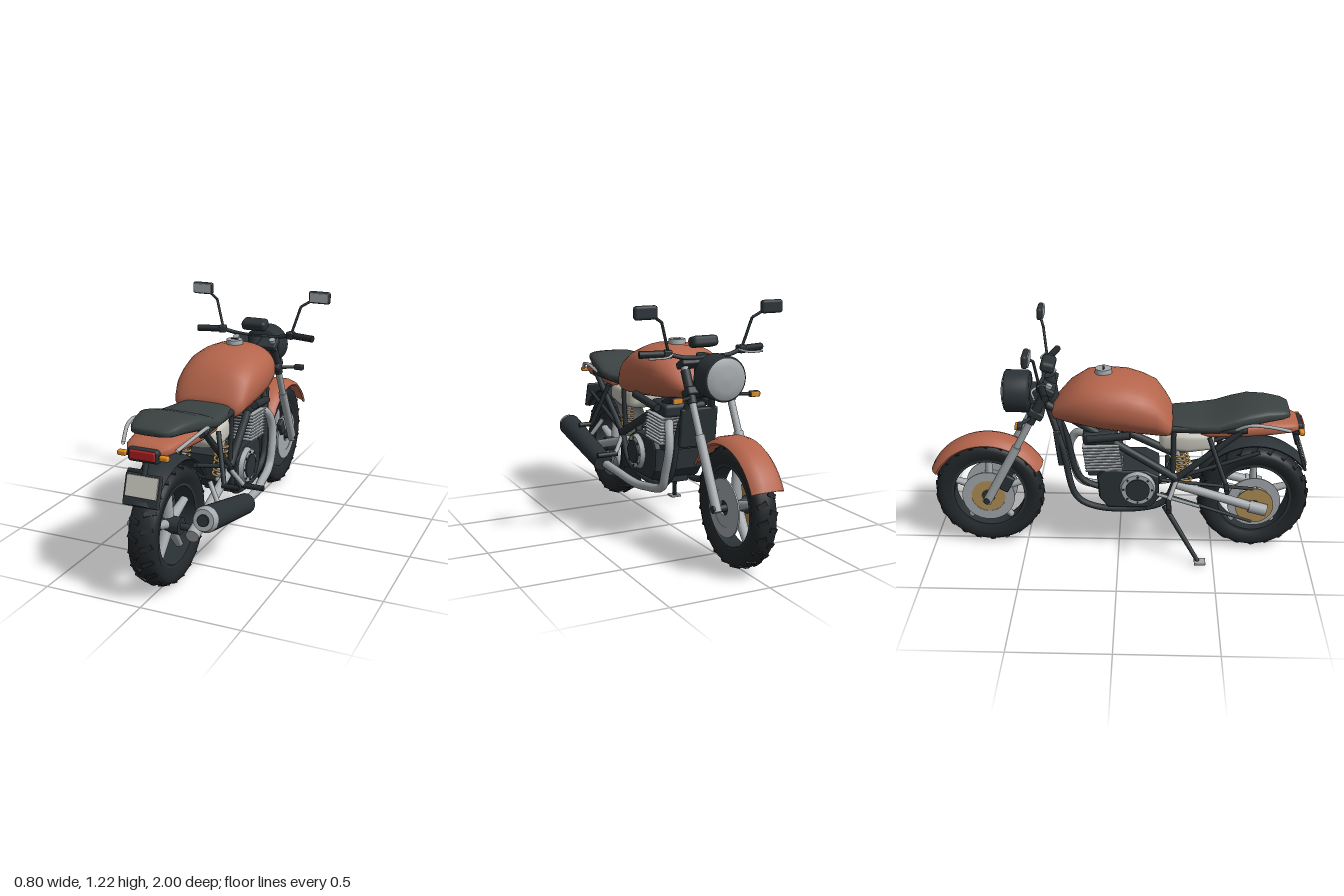
import * as THREE from 'three';
import { RoundedBoxGeometry } from 'three/addons/geometries/RoundedBoxGeometry.js';
import { toCreasedNormals } from 'three/addons/utils/BufferGeometryUtils.js';

const mat = (color) => new THREE.MeshStandardMaterial({ color, side: THREE.DoubleSide });
const paint = mat(0xb5654c), dark = mat(0x2b3236), rubber = mat(0x23272a), metal = mat(0xa4a9ac);
const vinyl = mat(0x3b4242), cream = mat(0xc6c5ba), gold = mat(0xb08d55), red = mat(0xb02020), amber = mat(0xe08a20);
const V = (p) => new THREE.Vector3(...p);
const rad = THREE.MathUtils.degToRad;

export function createModel() {
  const root = new THREE.Group();
  const add = (name, geo, material, pos = [0, 0, 0], rot = [0, 0, 0], parent = root) => {
    const m = new THREE.Mesh(geo, material);
    m.name = name;
    m.position.set(...pos);
    m.rotation.set(...rot);
    parent.add(m);
    return m;
  };
  const box = (name, size, pos, material, rot, r = 0.008) =>
    add(name, new RoundedBoxGeometry(...size, 2, r), material, pos, rot);
  // Straight rod between two points
  const rod = (name, a, b, r, material, r2 = r, sides = 20) => {
    const A = V(a), B = V(b), d = B.clone().sub(A);
    const m = add(name, new THREE.CylinderGeometry(r2, r, d.length(), sides), material, A.clone().add(B).multiplyScalar(0.5).toArray());
    m.quaternion.setFromUnitVectors(new THREE.Vector3(0, 1, 0), d.normalize());
    return m;
  };
  const tube = (name, pts, r, material) =>
    add(name, new THREE.TubeGeometry(new THREE.CatmullRomCurve3(pts.map(V)), pts.length * 10, r, 10), material);
  // Body lofted through superellipse sections [z, bottom, top, halfWidth]
  const loft = (name, sections, n, material) => {
    const S = 36, pos = [], idx = [];
    for (const [z, yb, yt, w] of sections)
      for (let j = 0; j < S; j++) {
        const t = (j / S) * Math.PI * 2, c = Math.cos(t), s = Math.sin(t);
        pos.push(w * Math.sign(c) * Math.abs(c) ** (2 / n), (yb + yt) / 2 + ((yt - yb) / 2) * Math.sign(s) * Math.abs(s) ** (2 / n), z);
      }
    const last = sections.length - 1, c0 = pos.length / 3;
    for (const k of [0, last]) pos.push(0, (sections[k][1] + sections[k][2]) / 2, sections[k][0]);
    for (let j = 0; j < S; j++) {
      const q = (j + 1) % S;
      for (let i = 0; i < last; i++) {
        const a = i * S + j, b = i * S + q;
        idx.push(a, b, a + S, b, b + S, a + S);
      }
      idx.push(c0, q, j, c0 + 1, last * S + j, last * S + q);
    }
    const g = new THREE.BufferGeometry();
    g.setAttribute('position', new THREE.Float32BufferAttribute(pos, 3));
    g.setIndex(idx);
    g.computeVertexNormals();
    return add(name, g, material);
  };
  // Profile [radius, x] turned about the wheel axis between two angles
  const turn = (name, pts, material, pos, parent, from = 0, to = 360, segs = 64) =>
    add(name, toCreasedNormals(new THREE.LatheGeometry(pts.map((p) => new THREE.Vector2(...p)), segs, rad(-to), rad(to - from)), 0.7),
      material, pos, [0, 0, -Math.PI / 2], parent);
  const ring = (name, r0, r1, x, w, material, pos, parent) =>
    turn(name, [[r0, x - w], [r1, x - w], [r1, x + w], [r0, x + w], [r0, x - w]], material, pos, parent);

  // Wheels
  const wheel = (name, z, w) => {
    const g = new THREE.Group();
    g.name = name;
    g.position.set(0, 0.297, z);
    root.add(g);
    const half = [[0.2, w * 0.75], [0.23, w * 0.97], [0.255, w], [0.273, w * 0.88], [0.285, w * 0.55], [0.29, 0]];
    const outer = [...half.map(([r, x]) => [r, -x]), ...half.slice(0, 5).reverse()];
    turn('tyre', [...outer, outer[0]], rubber, [0, 0, 0], g);
    ring('rim', 0.188, 0.206, 0, w * 0.76, dark, [0, 0, 0], g);
    for (let i = 0; i < 5; i++) {
      const a = rad(90 + i * 72);
      const geo = new THREE.CylinderGeometry(0.016, 0.024, 0.17, 10);
      const m = add('spoke', geo, metal, [0, Math.sin(a) * 0.115, Math.cos(a) * 0.115], [Math.PI / 2 - a, 0, 0], g);
      m.scale.x = 1.3;
    }
    for (let i = 0; i < 44; i++) {
      const a = (i / 44) * Math.PI * 2, s = i % 2 ? 1 : -1;
      const pivot = new THREE.Group();
      pivot.name = 'treadBlock';
      pivot.rotation.x = a;
      g.add(pivot);
      add('tread', new THREE.BoxGeometry(w * 0.85, 0.01, 0.022), rubber, [s * w * 0.48, 0.283, 0], [0, s * 0.4, -s * 0.3], pivot);
    }
    turn('hub', [[0, -w], [0.042, -w], [0.042, w], [0, w]], dark, [0, 0, 0], g);
    return g;
  };
  const front = wheel('frontWheel', -0.695, 0.056), rear = wheel('rearWheel', 0.71, 0.071);
  for (const s of [-1, 1]) {
    ring('frontBrakeDisc', 0.09, 0.14, s * 0.066, 0.004, metal, [0, 0, 0], front);
    ring('frontDiscCarrier', 0.035, 0.09, s * 0.064, 0.004, s < 0 ? gold : metal, [0, 0, 0], front);
  }
  ring('rearBrakeDisc', 0.09, 0.14, -0.085, 0.004, metal, [0, 0, 0], rear);
  ring('rearSprocket', 0.03, 0.1, -0.125, 0.004, gold, [0, 0, 0], rear);
  rod('rearAxle', [-0.16, 0.297, 0.71], [0.16, 0.297, 0.71], 0.017, dark);
  rod('frontAxle', [-0.13, 0.297, -0.695], [0.13, 0.297, -0.695], 0.017, dark);

  // Mudguards
  const guard = (w, r, drop) => [[r - drop, -w], [r - 0.012, -w * 0.8], [r, -w * 0.4], [r, w * 0.4], [r - 0.012, w * 0.8], [r - drop, w]];
  const shell = (w, r, drop) => {
    const o = guard(w, r, drop), i = guard(w - 0.008, r - 0.009, drop).reverse();
    return [...o, ...i, o[0]];
  };
  turn('frontMudguard', shell(0.085, 0.333, 0.03), paint, [0, 0.297, -0.695], root, 30, 154, 32);
  turn('rearMudguard', shell(0.075, 0.335, 0.015), dark, [0, 0.297, 0.71], root, 36, 150, 32);

  // Tank, seat, tail and side covers
  loft('fuelTank', [[-0.35, 0.765, 0.81, 0.05], [-0.33, 0.75, 0.84, 0.1], [-0.25, 0.735, 0.93, 0.16], [-0.16, 0.72, 0.985, 0.197], [-0.06, 0.705, 0.992, 0.215],
    [0.04, 0.695, 0.985, 0.218], [0.12, 0.685, 0.96, 0.212], [0.19, 0.678, 0.925, 0.202], [0.24, 0.677, 0.85, 0.188], [0.265, 0.685, 0.805, 0.165], [0.275, 0.7, 0.78, 0.13]], 2.3, paint);
  add('fuelCap', new THREE.CylinderGeometry(0.042, 0.045, 0.025, 32), metal, [0, 1, -0.08]);
  box('capLatch', [0.04, 0.008, 0.01], [0, 1.013, -0.08], dark, [0, 0, 0], 0.002);
  loft('seat', [[0.255, 0.735, 0.76, 0.11], [0.275, 0.72, 0.775, 0.135], [0.42, 0.715, 0.78, 0.165], [0.5, 0.72, 0.79, 0.173], [0.58, 0.735, 0.82, 0.17],
    [0.66, 0.75, 0.843, 0.165], [0.75, 0.765, 0.846, 0.14], [0.83, 0.775, 0.835, 0.115], [0.865, 0.785, 0.82, 0.095]], 3, vinyl);
  loft('tailPanel', [[0.42, 0.69, 0.76, 0.13], [0.46, 0.68, 0.765, 0.145], [0.6, 0.68, 0.77, 0.145], [0.78, 0.69, 0.775, 0.13], [0.88, 0.7, 0.765, 0.11], [0.915, 0.71, 0.75, 0.09]], 3, paint);
  loft('sideCover', [[0.21, 0.62, 0.7, 0.1], [0.24, 0.6, 0.715, 0.13], [0.36, 0.59, 0.715, 0.14], [0.47, 0.605, 0.71, 0.13], [0.49, 0.63, 0.69, 0.11]], 4, cream);

  // Rear lamp and plate
  box('lampHousing', [0.155, 0.065, 0.05], [0, 0.715, 0.915], dark, [0, 0, 0], 0.015);
  box('tailLamp', [0.13, 0.045, 0.02], [0, 0.718, 0.938], red);
  box('plateBracket', [0.185, 0.15, 0.016], [0, 0.555, 0.945], dark, [-0.32, 0, 0]);
  rod('plateStay', [0, 0.7, 0.9], [0, 0.6, 0.93], 0.014, dark);
  box('plate', [0.16, 0.1, 0.008], [0, 0.575, 0.953], cream, [-0.32, 0, 0], 0.003);

  // Engine
  const side = new THREE.Shape([[-0.2, 0.34], [-0.2, 0.46], [-0.14, 0.49], [0.07, 0.49], [0.1, 0.45], [0.09, 0.34], [0.05, 0.29], [-0.16, 0.29]].map((p) => new THREE.Vector2(...p)));
  const crank = new THREE.ExtrudeGeometry(side, { depth: 0.24, bevelSize: 0.012, bevelThickness: 0.02, bevelSegments: 2 });
  add('crankcase', crank, dark, [-0.12, 0, 0], [0, Math.PI / 2, 0]);
  box('sump', [0.16, 0.06, 0.2], [0, 0.28, 0.04], dark);
  box('cylinderBlock', [0.22, 0.2, 0.15], [0, 0.55, -0.085], dark);
  for (let i = 0; i < 9; i++) box('coolingFin', [0.28, 0.008, 0.19], [0, 0.497 + i * 0.0165, -0.075 - i * 0.002], metal, [-0.06, 0, 0], 0.003);
  box('cylinderHead', [0.24, 0.07, 0.17], [0, 0.665, -0.1], dark, [-0.06, 0, 0], 0.02);
  for (const s of [-1, 1]) {
    rod('engineCover', [s * 0.12, 0.4, 0.1], [s * 0.165, 0.4, 0.1], 0.1, metal, 0.085, 36);
    rod('coverInset', [s * 0.16, 0.4, 0.1], [s * 0.172, 0.4, 0.1], 0.062, dark, 0.062, 32);
    for (let i = 0; i < 8; i++) {
      const a = i * Math.PI / 4, y = 0.4 + 0.074 * Math.sin(a), z = 0.1 + 0.074 * Math.cos(a);
      rod('coverBolt', [s * 0.16, y, z], [s * 0.169, y, z], 0.006, dark, 0.006, 6);
    }
  }
  box('oilCooler', [0.2, 0.2, 0.03], [0, 0.6, -0.31], dark, [-0.12, 0, 0]);

  // Exhaust
  tube('exhaustPipe', [[0.09, 0.6, -0.17], [0.12, 0.59, -0.23], [0.14, 0.5, -0.275], [0.15, 0.37, -0.25], [0.15, 0.285, -0.21],
    [0.165, 0.25, -0.06], [0.185, 0.245, 0.05], [0.205, 0.265, 0.25], [0.225, 0.285, 0.38]], 0.023, metal);
  rod('silencer', [0.24, 0.295, 0.34], [0.25, 0.41, 0.82], 0.052, dark, 0.062, 32);
  rod('silencerTip', [0.25, 0.41, 0.82], [0.251, 0.417, 0.85], 0.062, metal, 0.05, 32);
  rod('silencerOutlet', [0.251, 0.416, 0.847], [0.251, 0.419, 0.86], 0.028, dark);
  rod('silencerHanger', [0.15, 0.48, 0.56], [0.22, 0.37, 0.6], 0.012, metal);

  // Chain
  for (const [a, b] of [[0.44, 0.395], [0.36, 0.2]]) rod('chainRun', [-0.125, a, 0.22], [-0.125, b, 0.7], 0.01, dark, 0.01, 6);

  // Headlamp and instruments
  const lamp = (name, pts, m) => add(name, new THREE.LatheGeometry(pts.map((p) => new THREE.Vector2(...p)), 40), m, [0, 0.88, 0], [Math.PI / 2, 0, 0]);
  lamp('headlampShell', [[0, -0.585], [0.1, -0.585], [0.11, -0.58], [0.11, -0.47], [0.1, -0.455], [0, -0.45]], dark);
  lamp('headlampLens', [[0, -0.603], [0.06, -0.6], [0.1, -0.588], [0.1, -0.58], [0, -0.58]], metal);
  box('instrumentPod', [0.14, 0.055, 0.075], [0, 1.032, -0.36], dark, [0.25, 0, 0], 0.02);
  rod('steeringStem', [0, 0.76, -0.33], [0, 0.97, -0.36], 0.035, dark);
  box('upperClamp', [0.26, 0.035, 0.08], [0, 0.93, -0.36], dark, [0.5, 0, 0]);
  box('lowerClamp', [0.26, 0.04, 0.08], [0, 0.8, -0.42], dark, [0.5, 0, 0]);
  box('headlampBracket', [0.12, 0.08, 0.09], [0, 0.87, -0.42], dark);
  tube('handlebar', [[-0.33, 0.985, -0.345], [-0.21, 0.985, -0.375], [-0.12, 0.965, -0.395], [0, 0.96, -0.385],
    [0.12, 0.965, -0.395], [0.21, 0.985, -0.375], [0.33, 0.985, -0.345]], 0.011, dark);

  for (const s of [-1, 1]) {
    // Fork, grips, mirrors and front signals
    rod('forkLower', [s * 0.105, 0.28, -0.7], [s * 0.105, 0.61, -0.525], 0.024, metal);
    rod('forkUpper', [s * 0.105, 0.6, -0.53], [s * 0.105, 0.96, -0.345], 0.018, metal);
    rod('forkGaiter', [s * 0.105, 0.75, -0.453], [s * 0.105, 0.9, -0.375], 0.024, dark);
    box('brakeCaliper', [0.03, 0.09, 0.05], [s * 0.075, 0.38, -0.59], dark, [0.5, 0, 0]);
    rod('grip', [s * 0.215, 0.985, -0.374], [s * 0.335, 0.985, -0.344], 0.018, rubber);
    box('switchBlock', [0.04, 0.04, 0.045], [s * 0.2, 0.985, -0.378], dark, [0, -s * 0.25, 0]);
    tube('lever', [[s * 0.18, 0.985, -0.39], [s * 0.22, 0.975, -0.42], [s * 0.31, 0.97, -0.4]], 0.006, metal);
    rod('mirrorStemLower', [s * 0.2, 0.99, -0.385], [s * 0.245, 1.14, -0.405], 0.007, dark);
    rod('mirrorStemUpper', [s * 0.245, 1.14, -0.405], [s * 0.3, 1.175, -0.425], 0.007, dark);
    box('mirrorShell', [0.12, 0.066, 0.03], [s * 0.34, 1.192, -0.43], dark, [0, 0, 0], 0.014);
    box('mirrorGlass', [0.105, 0.052, 0.008], [s * 0.34, 1.192, -0.414], metal, [0, 0, 0], 0.003);
    rod('frontSignalStem', [s * 0.12, 0.78, -0.45], [s * 0.19, 0.78, -0.49], 0.009, dark);
    box('frontSignalShell', [0.055, 0.03, 0.025], [s * 0.21, 0.78, -0.49], dark);
    box('frontSignal', [0.05, 0.026, 0.014], [s * 0.21, 0.78, -0.506], amber, [0, 0, 0], 0.005);
    rod('rearSignalStem', [s * 0.07, 0.715, 0.92], [s * 0.09, 0.715, 0.925], 0.01, dark);
    box('rearSignal', [0.045, 0.025, 0.028], [s * 0.104, 0.716, 0.93], amber);

    // Frame
    rod('mainTube', [s * 0.05, 0.83, -0.37], [s * 0.14, 0.46, 0.3], 0.021, dark);
    tube('downTube', [[s * 0.04, 0.84, -0.37], [s * 0.09, 0.6, -0.29], [s * 0.11, 0.33, -0.22], [s * 0.11, 0.27, -0.12], [s * 0.12, 0.27, 0.12], [s * 0.13, 0.32, 0.24], [s * 0.14, 0.46, 0.3]], 0.017, dark);
    rod('subframeTube', [s * 0.14, 0.46, 0.3], [s * 0.155, 0.74, 0.62], 0.016, dark);
    rod('rearStay', [s * 0.14, 0.47, 0.32], [s * 0.15, 0.62, 0.72], 0.011, dark);
    rod('seatRail', [s * 0.13, 0.735, 0.25], [s * 0.15, 0.745, 0.65], 0.019, dark);
    rod('subframeBrace', [s * 0.13, 0.46, 0.28], [s * 0.14, 0.73, 0.28], 0.013, dark);
    rod('kneePlate', [s * 0.15, 0.68, -0.16], [s * 0.17, 0.715, 0.06], 0.02, dark);
    tube('grabRail', [[s * 0.15, 0.74, 0.58], [s * 0.185, 0.785, 0.66], [s * 0.18, 0.78, 0.74], [s * 0.135, 0.735, 0.87]], 0.009, metal);

    // Swingarm and shocks
    rod('swingarm', [s * 0.12, 0.42, 0.28], [s * 0.15, 0.297, 0.72], 0.024, metal);
    rod('swingarmEnd', [s * 0.148, 0.305, 0.68], [s * 0.155, 0.285, 0.77], 0.032, metal);
    const coil = Array.from({ length: 57 }, (_, i) => {
      const t = i / 56, a = t * 7 * Math.PI * 2;
      return [s * 0.1 + 0.03 * Math.cos(a), 0.43 + t * 0.16, 0.35 - t * 0.05 + 0.03 * Math.sin(a)];
    });
    tube('shockSpring', coil, 0.006, gold);
    rod('shockBody', [s * 0.1, 0.4, 0.36], [s * 0.1, 0.62, 0.29], 0.014, metal);

    // Foot pegs and hangers
    rod('riderPeg', [s * 0.19, 0.355, 0.26], [s * 0.305, 0.355, 0.26], 0.014, rubber);
    rod('riderPegHanger', [s * 0.14, 0.45, 0.3], [s * 0.2, 0.355, 0.26], 0.012, metal);
    rod('passengerPeg', [s * 0.21, 0.465, 0.55], [s * 0.295, 0.465, 0.55], 0.013, rubber);
    rod('passengerPegHanger', [s * 0.15, 0.7, 0.46], [s * 0.22, 0.465, 0.55], 0.012, dark);
  }
  tube('shiftLever', [[-0.17, 0.38, 0.2], [-0.2, 0.36, 0.32], [-0.24, 0.35, 0.42]], 0.009, metal);

  // Side stand
  rod('sideStand', [-0.15, 0.3, 0.24], [-0.24, 0.02, 0.42], 0.015, dark, 0.011);
  box('standFoot', [0.06, 0.012, 0.06], [-0.243, 0.018, 0.43], metal, [0, 0, 0], 0.004);
  return root;
}
